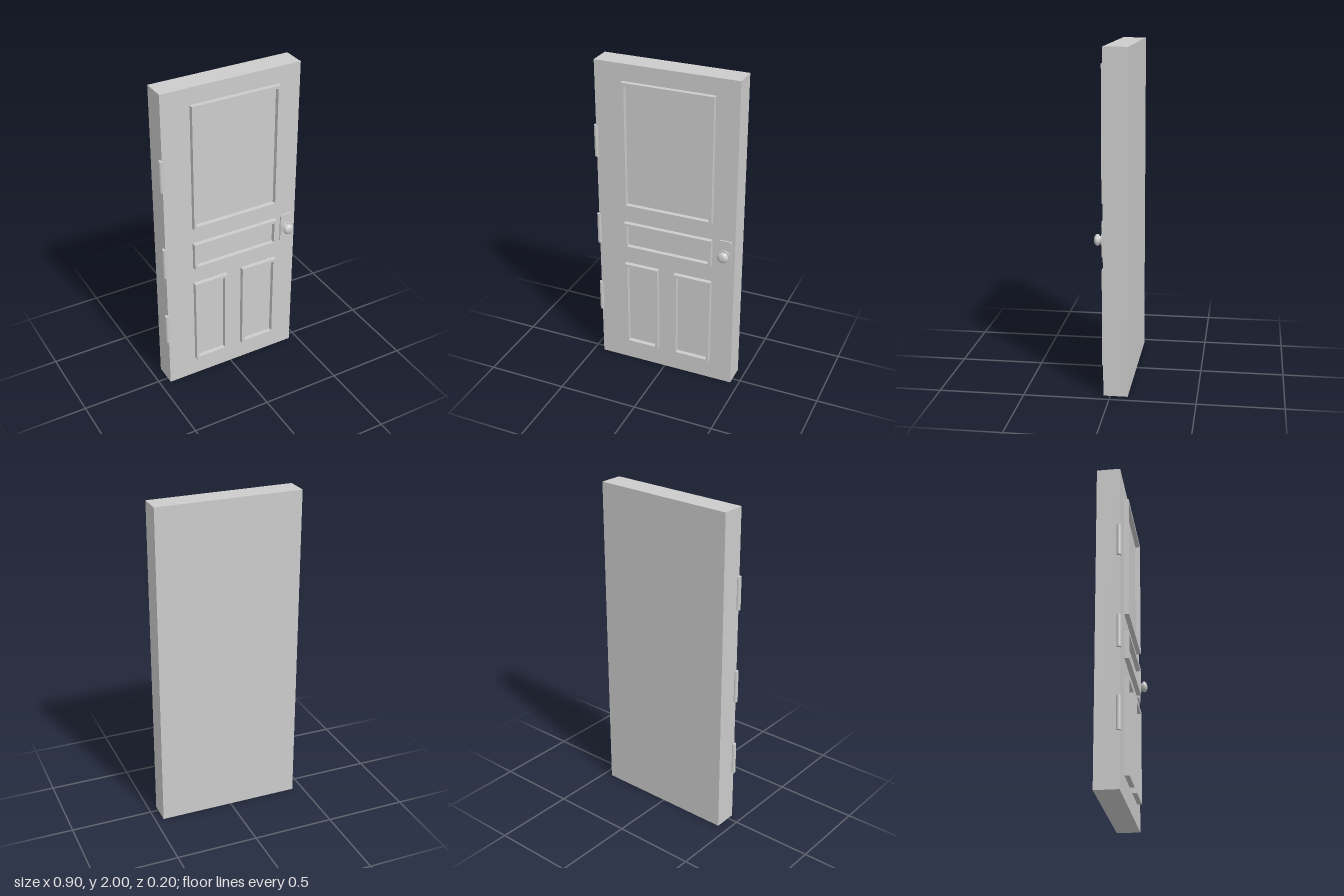
import * as THREE from 'three';

const material = new THREE.MeshStandardMaterial({ color: 0xcccccc });
const FACE = 0.04; // z of the door's front face

function add(group, name, geometry, x, y, z) {
  const mesh = new THREE.Mesh(geometry, material);
  mesh.name = name;
  mesh.position.set(x, y, z);
  group.add(mesh);
  return mesh;
}

function trace(path, x0, y0, x1, y1) {
  path.moveTo(x0, y0);
  path.lineTo(x1, y0);
  path.lineTo(x1, y1);
  path.lineTo(x0, y1);
  path.closePath();
  return path;
}

// Raised rectangular moulding around an open panel
function moulding(x0, y0, x1, y1) {
  const w = 0.018;
  const shape = trace(new THREE.Shape(), x0, y0, x1, y1);
  shape.holes.push(trace(new THREE.Path(), x0 + w, y0 + w, x1 - w, y1 - w));
  return new THREE.ExtrudeGeometry(shape, { depth: 0.028, bevelEnabled: false });
}

// Lock plate with small cut corners
function plate(w, h, cut) {
  const x = w / 2, y = h / 2;
  const shape = new THREE.Shape([
    [-x + cut, -y], [x - cut, -y], [x, -y + cut], [x, y - cut],
    [x - cut, y], [-x + cut, y], [-x, y - cut], [-x, -y + cut],
  ].map(([a, b]) => new THREE.Vector2(a, b)));
  return new THREE.ExtrudeGeometry(shape, { depth: 0.01, bevelEnabled: false });
}

export function createModel() {
  const door = new THREE.Group();
  door.name = 'door';

  add(door, 'doorSlab', new THREE.BoxGeometry(0.884, 2, 0.142), 0.007, 1, FACE - 0.071);

  // Panel mouldings: tall top, middle band, lower pair
  const panels = {
    topPanelFrame: [-0.257, 1.107, 0.308, 1.897],
    middlePanelFrame: [-0.257, 0.825, 0.308, 1.0],
    lowerRightPanelFrame: [-0.257, 0.13, -0.037, 0.714],
    lowerLeftPanelFrame: [0.07, 0.13, 0.308, 0.714],
  };
  for (const [name, box] of Object.entries(panels)) add(door, name, moulding(...box), 0, 0, FACE);

  // Hinge barrels along the right edge
  for (const y of [1.5, 0.914, 0.425]) {
    add(door, 'hinge', new THREE.CylinderGeometry(0.014, 0.014, 0.2, 24), -0.437, y, 0.034);
  }

  // Lock plate and turned knob
  const handle = new THREE.Group();
  handle.name = 'handle';
  handle.position.set(0.387, 0.915, FACE);
  door.add(handle);
  add(handle, 'lockPlate', plate(0.082, 0.19, 0.009), 0, 0, 0);
  const rose = add(handle, 'knobRose', new THREE.CylinderGeometry(0.034, 0.035, 0.008, 40), 0, 0, 0.013);
  rose.rotation.x = Math.PI / 2;

  const profile = new THREE.SplineCurve([
    [0.026, 0.015], [0.022, 0.021], [0.024, 0.026], [0.031, 0.031], [0.034, 0.038],
    [0.031, 0.047], [0.022, 0.054], [0.011, 0.0573], [0, 0.058],
  ].map(([r, z]) => new THREE.Vector2(r, z))).getPoints(32);
  profile[profile.length - 1].x = 0;
  const knob = add(handle, 'knob', new THREE.LatheGeometry(profile, 40), 0, 0, 0);
  knob.rotation.x = Math.PI / 2;

  return door;
}
